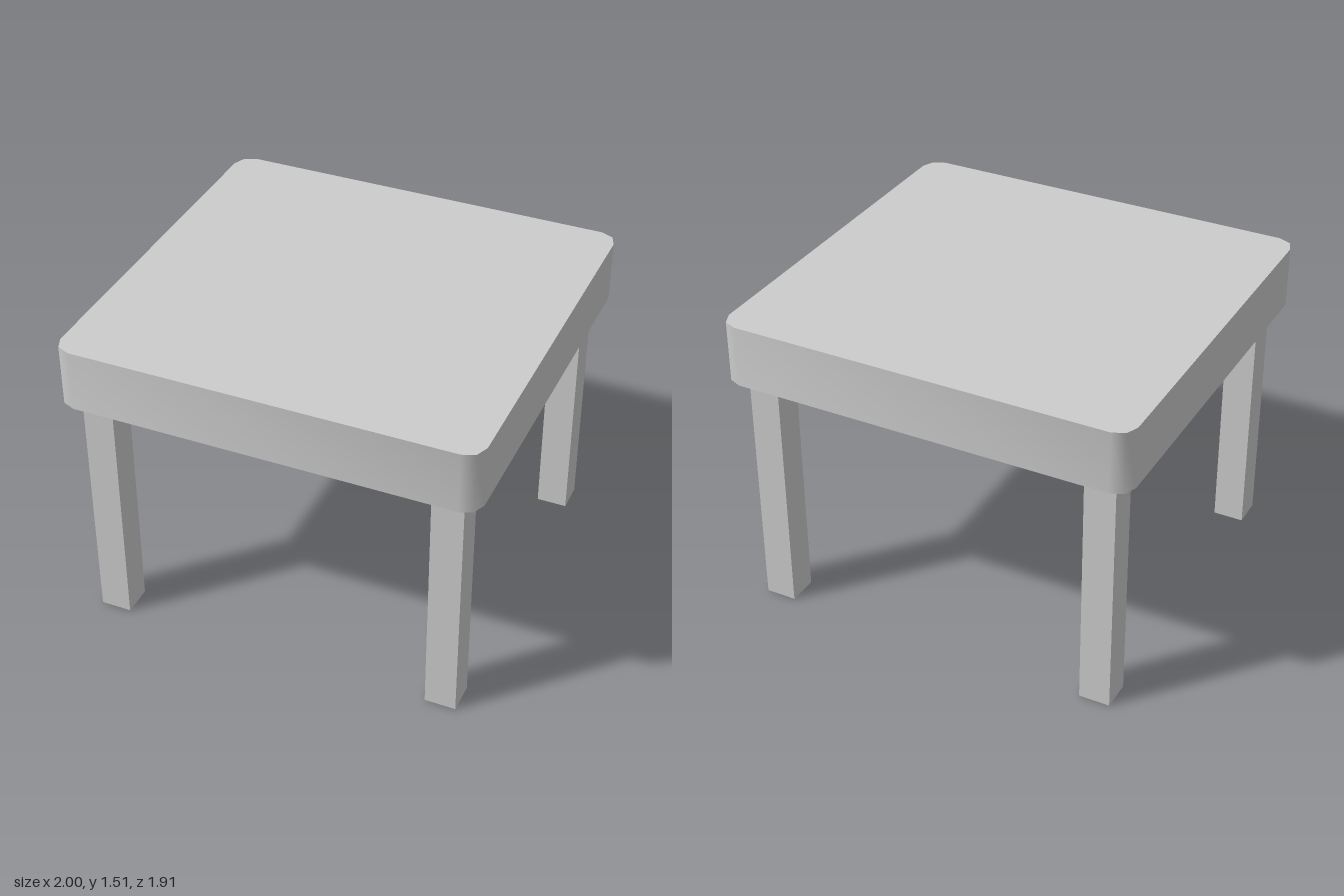
import * as THREE from 'three';
import { toCreasedNormals } from 'three/addons/utils/BufferGeometryUtils.js';

const HALF_X = 1, HALF_Z = 0.955;      // table top half sizes
const CORNER = 0.085;                  // corner radius
const LEG_HEIGHT = 1.215, TOP_THICKNESS = 0.3, LEG_WIDTH = 0.15;

// Rounded rectangle outline with two segments per corner
function roundedOutline(hx, hz, r) {
  const points = [];
  [[1, 1], [-1, 1], [-1, -1], [1, -1]].forEach(([sx, sz], i) => {
    for (let k = 0; k <= 2; k++) {
      const a = (i + k / 2) * Math.PI / 2;
      points.push(new THREE.Vector2(
        sx * (hx - r) + r * Math.cos(a),
        sz * (hz - r) + r * Math.sin(a)));
    }
  });
  return new THREE.Shape(points);
}

export function createModel() {
  const table = new THREE.Group();
  table.name = 'table';
  const material = new THREE.MeshStandardMaterial({ color: 0xcccccc });

  // Thick top slab, smooth around the corners with sharp rims
  const slab = new THREE.ExtrudeGeometry(roundedOutline(HALF_X, HALF_Z, CORNER), {
    depth: TOP_THICKNESS, bevelEnabled: false,
  });
  slab.rotateX(-Math.PI / 2);
  const top = new THREE.Mesh(toCreasedNormals(slab, Math.PI / 3), material);
  top.name = 'tableTop';
  top.position.y = LEG_HEIGHT;
  table.add(top);

  // Four square legs, set in from the edges
  const legGeometry = new THREE.BoxGeometry(LEG_WIDTH, LEG_HEIGHT, LEG_WIDTH);
  for (const [sx, side] of [[1, 'Left'], [-1, 'Right']]) {
    for (const [sz, end] of [[1, 'front'], [-1, 'back']]) {
      const leg = new THREE.Mesh(legGeometry, material);
      leg.name = `${end}${side}Leg`;
      leg.position.set(sx * 0.84, LEG_HEIGHT / 2, sz * 0.8);
      table.add(leg);
    }
  }
  return table;
}
